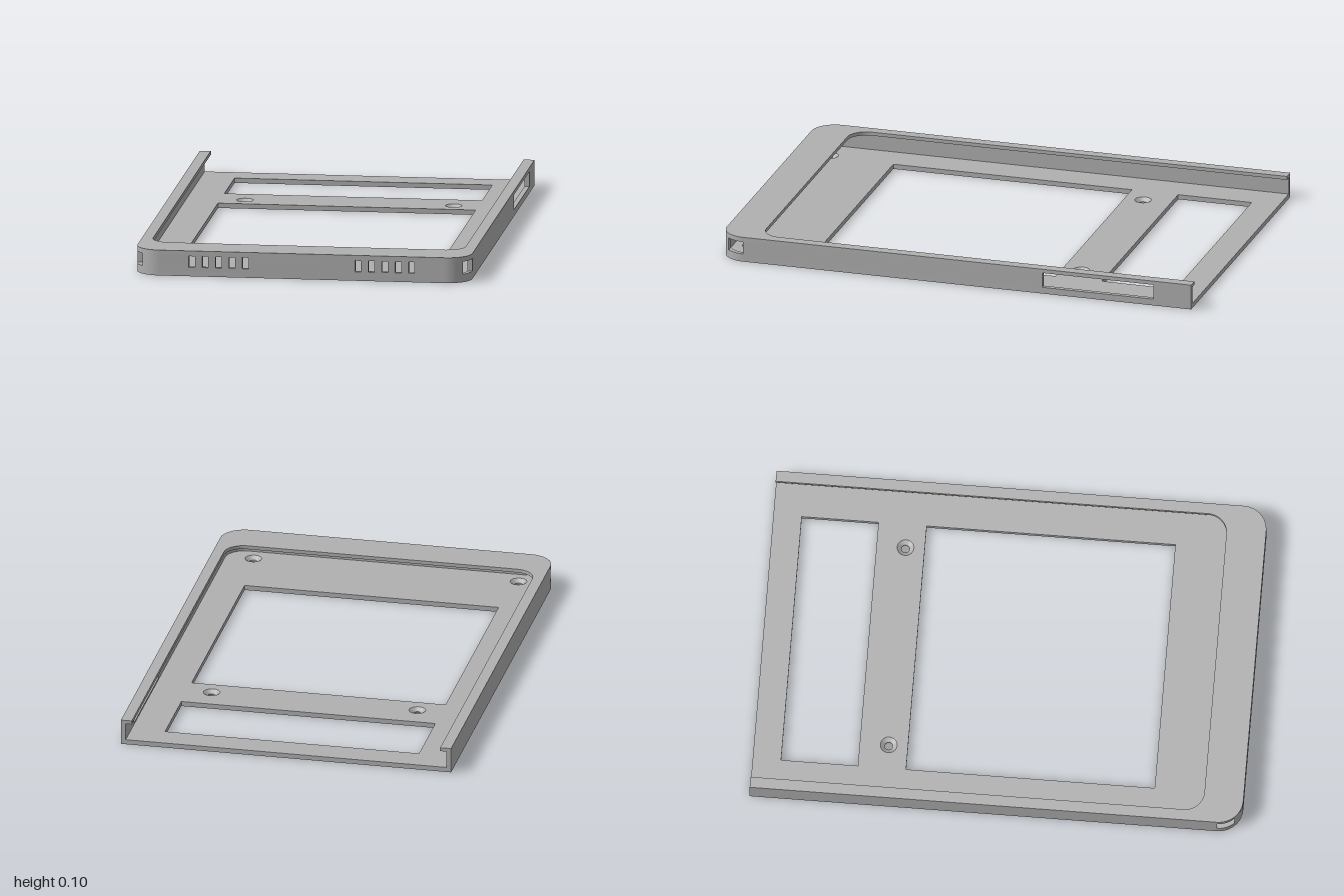
import * as THREE from 'three';
import { toCreasedNormals } from 'three/addons/utils/BufferGeometryUtils.js';

const W = 0.685, L = 1, R = 0.1, T = 0.02;        // half width, half length, corner radius, wall
const FLOOR = 0.02, LIP = 0.09, TOP = 0.105;      // heights of the layers
const HOLE_Y0 = 0.033, HOLE_Y1 = 0.085;           // corner opening heights

export function createModel() {
  const group = new THREE.Group();
  const grey = new THREE.MeshStandardMaterial({ color: 0xb0b0b0 });
  grey.name = 'grey plastic';

  const add = (name, geo) => {
    const mesh = new THREE.Mesh(toCreasedNormals(geo, 0.5), grey);
    mesh.name = name;
    group.add(mesh);
    return mesh;
  };
  const extrude = (shape, depth) =>
    new THREE.ExtrudeGeometry(shape, { depth, bevelEnabled: false, curveSegments: 24 });
  // plan shape (x, z) raised from y0 to y1
  const plan = (shape, y0, y1) =>
    extrude(shape, y1 - y0).rotateX(Math.PI / 2).translate(0, y1, 0);
  const rect = (x0, y0, x1, y1, Type = THREE.Path) => new Type([
    [x0, y0], [x1, y0], [x1, y1], [x0, y1]].map(p => new THREE.Vector2(...p)));
  const arc = (cx, cz, r, a0, a1, n = 14) => Array.from({ length: n + 1 }, (_, i) => {
    const a = a0 + (a1 - a0) * i / n;
    return new THREE.Vector2(cx + r * Math.cos(a), cz + r * Math.sin(a));
  });
  // U-shaped outline: square at the back, rounded at the front
  const outline = (w, front, r) => [
    new THREE.Vector2(w, -L),
    ...arc(w - r, front - r, r, 0, Math.PI / 2),
    ...arc(r - w, front - r, r, Math.PI / 2, Math.PI),
    new THREE.Vector2(-w, -L)];

  // floor with two windows and four screw holes
  const screws = [[0.427, -0.455], [-0.427, -0.455], [0.55, 0.91], [-0.55, 0.91]];
  const floor = new THREE.Shape(outline(W, L, R));
  floor.holes.push(rect(-0.527, -0.885, 0.527, -0.573), rect(-0.527, -0.377, 0.527, 0.635));
  for (const [x, z] of screws) {
    floor.holes.push(new THREE.Path().absarc(x, z, 0.034, 0, Math.PI * 2, true));
  }
  add('floor', plan(floor, 0, FLOOR));

  // countersunk bores
  const bore = [[0.034, FLOOR], [0.016, 0.006], [0.016, 0], [0.034, 0]]
    .map(p => new THREE.Vector2(...p));
  for (const [x, z] of screws) {
    add('screwHole', new THREE.LatheGeometry(bore, 48)).position.set(x, 0, z);
  }

  // overhanging lip around three sides
  const lip = new THREE.Shape([...outline(W, L, R), ...outline(0.64, 0.84, 0.08).reverse()]);
  add('lip', plan(lip, LIP, TOP));

  // front wall with two groups of vents
  const front = rect(R - W, FLOOR, W - R, LIP, THREE.Shape);
  for (const side of [-1, 1]) {
    for (let i = 0; i < 5; i++) {
      const x = side * (0.231 + i * 0.0547);
      front.holes.push(rect(x - 0.0125, 0.037, x + 0.0125, 0.083));
    }
  }
  add('frontWall', extrude(front, T).translate(0, 0, L - T));

  // side walls, the left one with a long slot
  for (const side of [1, -1]) {
    const name = side > 0 ? 'left' : 'right';
    const wall = rect(-L, FLOOR, L - R, LIP, THREE.Shape);
    if (side > 0) wall.holes.push(rect(-0.84, 0.027, -0.37, LIP - 0.001));
    add(name + 'Wall', extrude(wall, T).rotateY(-Math.PI / 2)
      .translate(side > 0 ? W : T - W, 0, 0));

    // rounded corner: full bands below and above, cut short between for the opening
    const corner = (a0, a1) => new THREE.Shape([
      ...arc(W - R, L - R, R, a0, Math.PI / 2),
      ...arc(W - R, L - R, R - T, Math.PI / 2, a1)]
      .map(p => new THREE.Vector2(p.x * side, p.y)));
    const cut = 0.07;
    add(name + 'CornerLower', plan(corner(0, 0), FLOOR, HOLE_Y0));
    add(name + 'CornerMiddle',
      plan(corner(Math.asin(cut / R), Math.asin(cut / (R - T))), HOLE_Y0, HOLE_Y1));
    add(name + 'CornerUpper', plan(corner(0, 0), HOLE_Y1, LIP));
  }
  return group;
}
